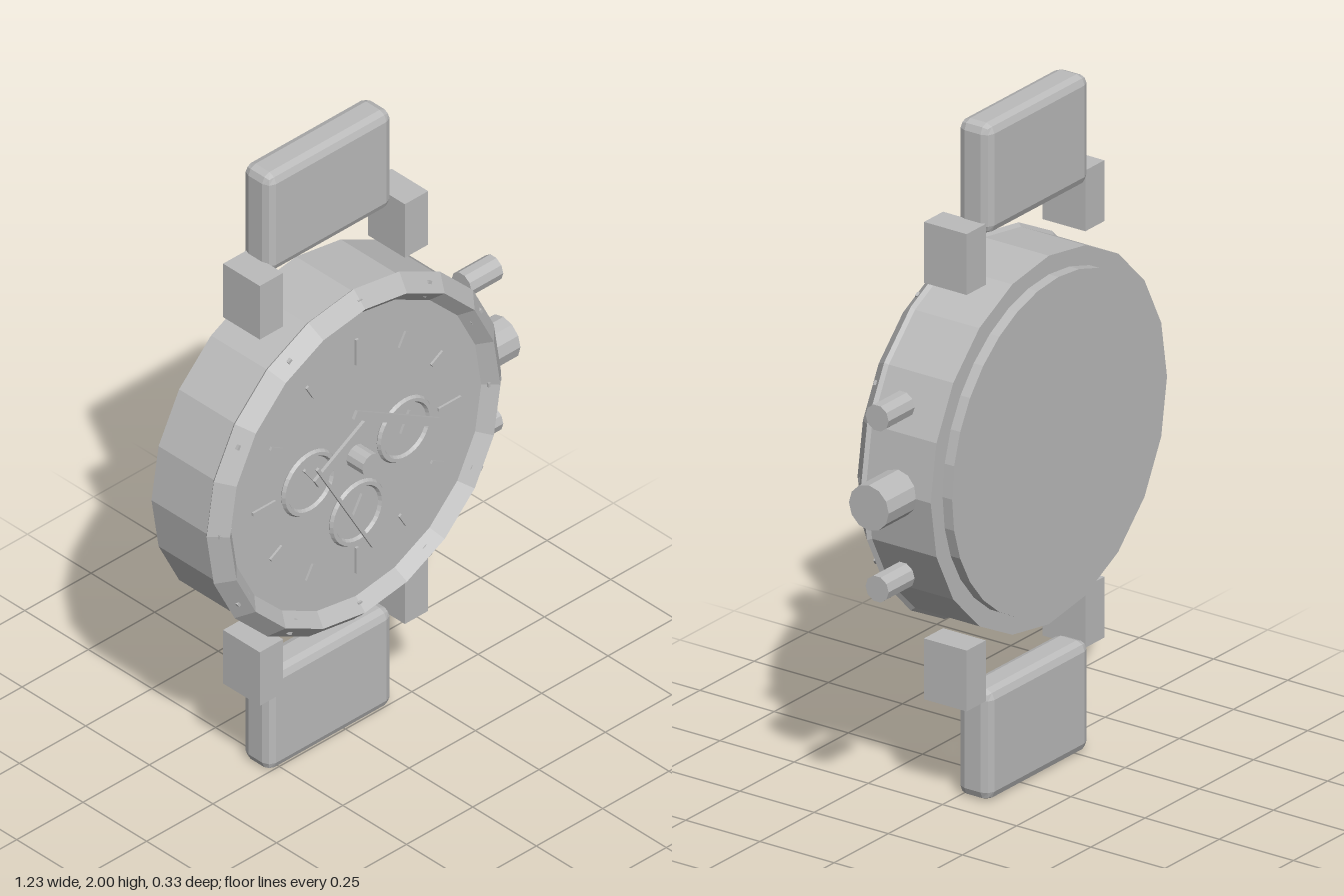
import * as THREE from 'three';
import { RoundedBoxGeometry } from 'three/addons/geometries/RoundedBoxGeometry.js';

const CX = -0.06, CY = 1.005; // centre of the dial

export function createModel() {
  const model = new THREE.Group();
  model.name = 'wristwatch';
  const grey = new THREE.MeshStandardMaterial({ color: 0xbbbbbb, flatShading: true });
  grey.name = 'grey';

  const add = (name, geometry, x, y, z, turn = 0) => {
    const mesh = new THREE.Mesh(geometry, grey);
    mesh.name = name;
    mesh.position.set(x, y, z);
    mesh.rotation.z = turn;
    model.add(mesh);
    return mesh;
  };
  // Disc or drum facing the front, between two depths
  const drum = (name, r, z0, z1, sides, x = CX, y = CY) =>
    add(name, new THREE.CylinderGeometry(r, r, z1 - z0, sides).rotateX(Math.PI / 2), x, y, (z0 + z1) / 2);
  // Round knob pointing sideways
  const knob = (name, r, x0, x1, y, sides) =>
    add(name, new THREE.CylinderGeometry(r, r, x1 - x0, sides).rotateZ(Math.PI / 2), (x0 + x1) / 2, y, -0.015);

  // Case, back cover and ridged bezel
  drum('case', 0.545, -0.132, 0.095, 20);
  drum('backCover', 0.49, -0.164, -0.13, 32);
  add('bezel', new THREE.TorusGeometry(0.51, 0.045, 4, 20), CX, CY, 0.095);
  drum('dial', 0.475, 0.08, 0.103, 48);

  // Bezel pips and hour markers
  for (let i = 0; i < 12; i++) {
    const a = (i * Math.PI) / 6, c = Math.cos(a), s = Math.sin(a);
    add('bezelPip', new THREE.BoxGeometry(0.048, 0.014, 0.012), CX + 0.508 * c, CY + 0.508 * s, 0.115, a);
    const length = i % 3 ? 0.05 : 0.085;
    add('hourMarker', new THREE.BoxGeometry(length, 0.01, 0.008), CX + 0.35 * c, CY + 0.35 * s, 0.106, a);
  }

  // Small dials, each with a rim and a short hand
  for (const [dx, dy, tilt] of [[-0.18, 0, 2.2], [0.18, 0, 1.1], [0, -0.19, 1.05]]) {
    const x = CX + dx, y = CY + dy;
    drum('smallDial', 0.085, 0.1, 0.106, 32, x, y);
    add('smallDialRim', new THREE.TorusGeometry(0.092, 0.011, 6, 32), x, y, 0.106);
    add('smallHand', new THREE.BoxGeometry(0.07, 0.008, 0.008), x, y + 0.025, 0.11, tilt);
  }

  // Hands and the centre pin
  add('hourHand', new THREE.BoxGeometry(0.22, 0.032, 0.01), CX - 0.074, CY + 0.053, 0.122, Math.PI / 6);
  add('minuteHand', new THREE.BoxGeometry(0.36, 0.026, 0.01), CX + 0.127, CY + 0.074, 0.129, -Math.PI / 6);
  add('secondHand', new THREE.BoxGeometry(0.42, 0.01, 0.008), CX - 0.07, CY - 0.125, 0.134, -Math.PI / 3);
  drum('centrePin', 0.035, 0.1, 0.165, 12);

  // Crown and pushers
  knob('crown', 0.067, 0.47, 0.61, CY, 12);
  for (const y of [CY + 0.253, CY - 0.253]) knob('pusher', 0.039, 0.452, 0.572, y, 10);

  // Lugs and chamfered strap ends, above and below
  for (const side of [1, -1]) {
    for (const dx of [-0.275, 0.272])
      add('lug', new THREE.BoxGeometry(0.088, 0.18, 0.144), CX + dx, CY + side * 0.616, -0.014);
    add('strap', new RoundedBoxGeometry(0.47, 0.325, 0.108, 1, 0.027), CX - 0.002, 1 + side * 0.8375, -0.045);
  }
  return model;
}
